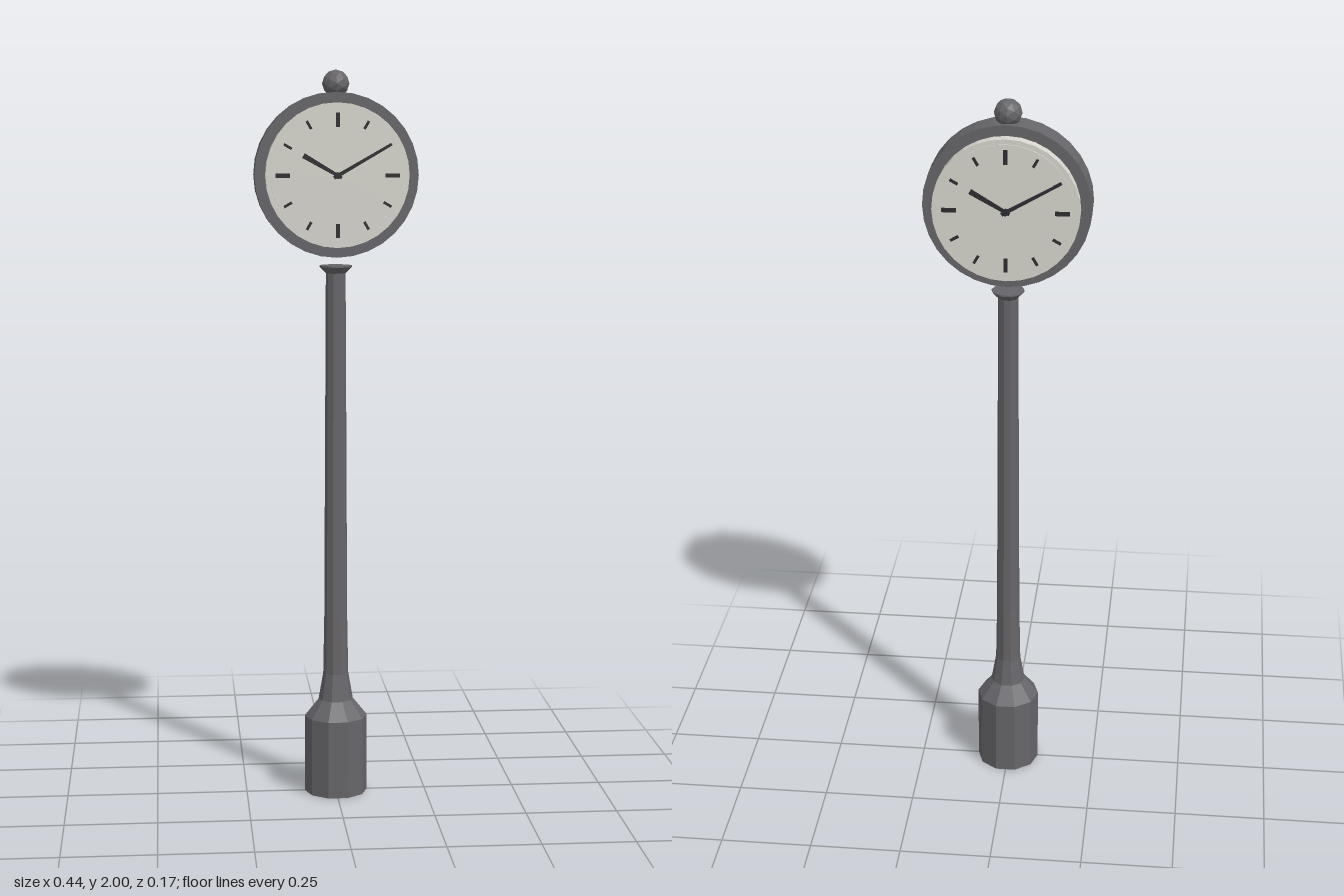
import * as THREE from 'three';

const metal = new THREE.MeshStandardMaterial({ color: 0x66666a, flatShading: true });
metal.name = 'grey metal';
const pale = new THREE.MeshStandardMaterial({ color: 0xd8d6ce, flatShading: true });
pale.name = 'pale dial';
const dark = new THREE.MeshStandardMaterial({ color: 0x2e2e30, flatShading: true });
dark.name = 'dark markings';

const CLOCK_Y = 1.72;

function add(parent, name, geometry, material) {
  const mesh = new THREE.Mesh(geometry, material);
  mesh.name = name;
  parent.add(mesh);
  return mesh;
}

// Round slab facing z
function slab(radius, depth, sides) {
  return new THREE.CylinderGeometry(radius, radius, depth, sides).rotateX(Math.PI / 2);
}

// Tapered hand pointing up from the centre
function handShape(length, base, tip) {
  return new THREE.Shape([[-base, -0.012], [base, -0.012], [tip, length], [-tip, length]]
    .map(([x, y]) => new THREE.Vector2(x, y)));
}

function createDial() {
  const dial = new THREE.Group();
  add(dial, 'dialPlate', slab(0.18, 0.004, 40), pale).position.z = 0.068;

  // Hour marks, with longer ones at each quarter
  for (let i = 0; i < 12; i++) {
    const quarter = i % 3 === 0;
    const length = quarter ? 0.038 : 0.024;
    const mark = new THREE.BoxGeometry(quarter ? 0.011 : 0.007, length, 0.004);
    mark.translate(0, 0.166 - length / 2, 0.072).rotateZ(-i * Math.PI / 6);
    add(dial, 'hourMark', mark, dark);
  }

  // Hands at ten past ten
  for (const [name, length, base, tip, hour, z] of [
    ['hourHand', 0.106, 0.004, 0.007, 10, 0.071],
    ['minuteHand', 0.166, 0.005, 0.0035, 2, 0.074],
  ]) {
    const hand = new THREE.ExtrudeGeometry(handShape(length, base, tip), { depth: 0.004, bevelEnabled: false });
    hand.rotateZ(-hour * Math.PI / 6).translate(0, 0, z);
    add(dial, name, hand, dark);
  }
  add(dial, 'handPin', slab(0.009, 0.01, 10), dark).position.z = 0.075;
  return dial;
}

export function createModel() {
  const model = new THREE.Group();
  model.name = 'postClock';

  // Ten-sided post: plinth, shoulder, tapering pole and flared cap
  const profile = [
    [0, 0], [0.087, 0], [0.087, 0.217], [0.048, 0.265], [0.035, 0.34],
    [0.032, 0.5], [0.027, 1.455], [0.044, 1.472], [0.044, 1.476], [0, 1.476],
  ].map(([r, y]) => new THREE.Vector2(r, y));
  add(model, 'post', new THREE.LatheGeometry(profile, 10, Math.PI / 2), metal);

  // Clock head
  const head = new THREE.Group();
  head.name = 'clockHead';
  head.position.y = CLOCK_Y;
  model.add(head);
  add(head, 'casing', slab(0.221, 0.076, 32), metal);
  add(head, 'dialDrum', slab(0.193, 0.134, 32), pale);

  const front = createDial();
  front.name = 'frontDial';
  const back = createDial();
  back.name = 'backDial';
  back.rotation.y = Math.PI;
  head.add(front, back);

  // Ball finial
  add(model, 'finial', new THREE.IcosahedronGeometry(0.037, 1), metal).position.y = 1.963;
  return model;
}
